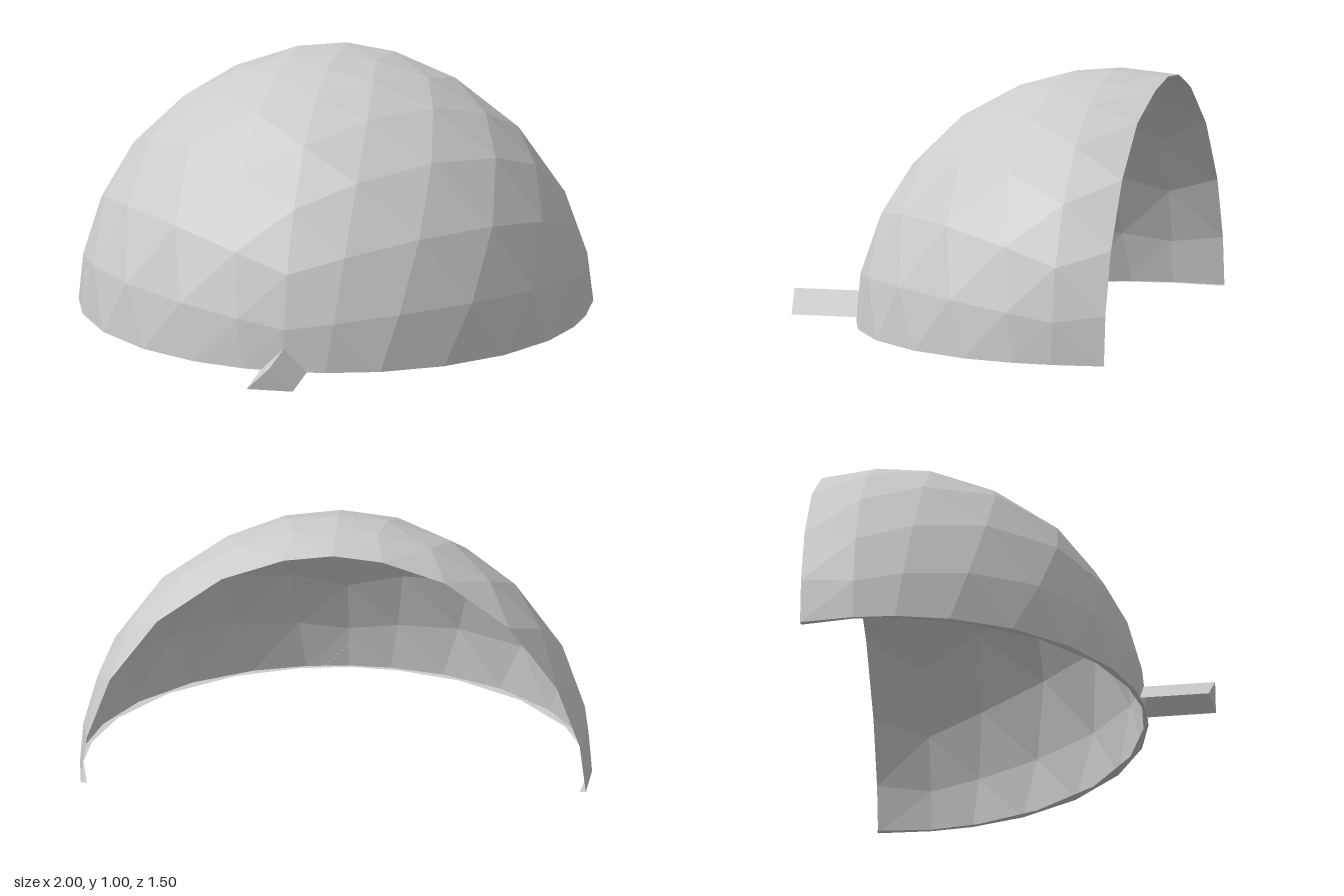
import * as THREE from 'three';

const CENTRE_Z = -0.525; // centre of the dome's sphere
const FREQ = 7; // subdivisions along each octahedron edge

const material = () => new THREE.MeshStandardMaterial({
  color: 0xcccccc, flatShading: true, side: THREE.DoubleSide,
});

// Faceted shell: an octahedral sphere cut below the equator and behind the centre
function domeGeometry() {
  const source = new THREE.OctahedronGeometry(1, FREQ - 1).getAttribute('position');
  const v = new THREE.Vector3();
  const out = [];
  for (let i = 0; i < source.count; i += 3) {
    const face = [];
    let keep = true;
    for (let k = 0; k < 3; k++) {
      v.fromBufferAttribute(source, i + k);
      const scale = FREQ / (Math.abs(v.x) + Math.abs(v.y) + Math.abs(v.z));
      const rowY = Math.round(v.y * scale);
      const rowZ = Math.round(v.z * scale);
      if (rowY < -1 || rowZ < -1) keep = false;
      // the last row below folds flat into a narrow base lip
      if (rowY === -1) v.y = 0;
      // the last row behind is drawn to a flat opening, raised back at its crown
      if (rowZ === -1) v.z = -0.21 - 0.016 * Math.max(0, (v.y - 0.873) / 0.113);
      face.push(v.x, v.y, v.z);
    }
    if (keep) out.push(...face);
  }
  const geometry = new THREE.BufferGeometry();
  geometry.setAttribute('position', new THREE.Float32BufferAttribute(out, 3));
  geometry.computeVertexNormals();
  return geometry;
}

// Tent-shaped spout: two slopes and a slightly leaning end, open underneath
function spoutGeometry() {
  const half = 0.092, height = 0.09, back = 0.465, foot = 0.739, peak = 0.75;
  const geometry = new THREE.BufferGeometry();
  geometry.setAttribute('position', new THREE.Float32BufferAttribute([
    -half, 0, back, 0, height, back, half, 0, back,
    -half, 0, foot, 0, height, peak, half, 0, foot,
  ], 3));
  geometry.setIndex([0, 3, 4, 0, 4, 1, 1, 4, 5, 1, 5, 2, 3, 5, 4]);
  const flat = geometry.toNonIndexed();
  flat.computeVertexNormals();
  return flat;
}

export function createModel() {
  const model = new THREE.Group();

  const dome = new THREE.Mesh(domeGeometry(), material());
  dome.name = 'domeShell';
  dome.position.z = CENTRE_Z;
  model.add(dome);

  const spout = new THREE.Mesh(spoutGeometry(), material());
  spout.name = 'frontSpout';
  model.add(spout);

  return model;
}
